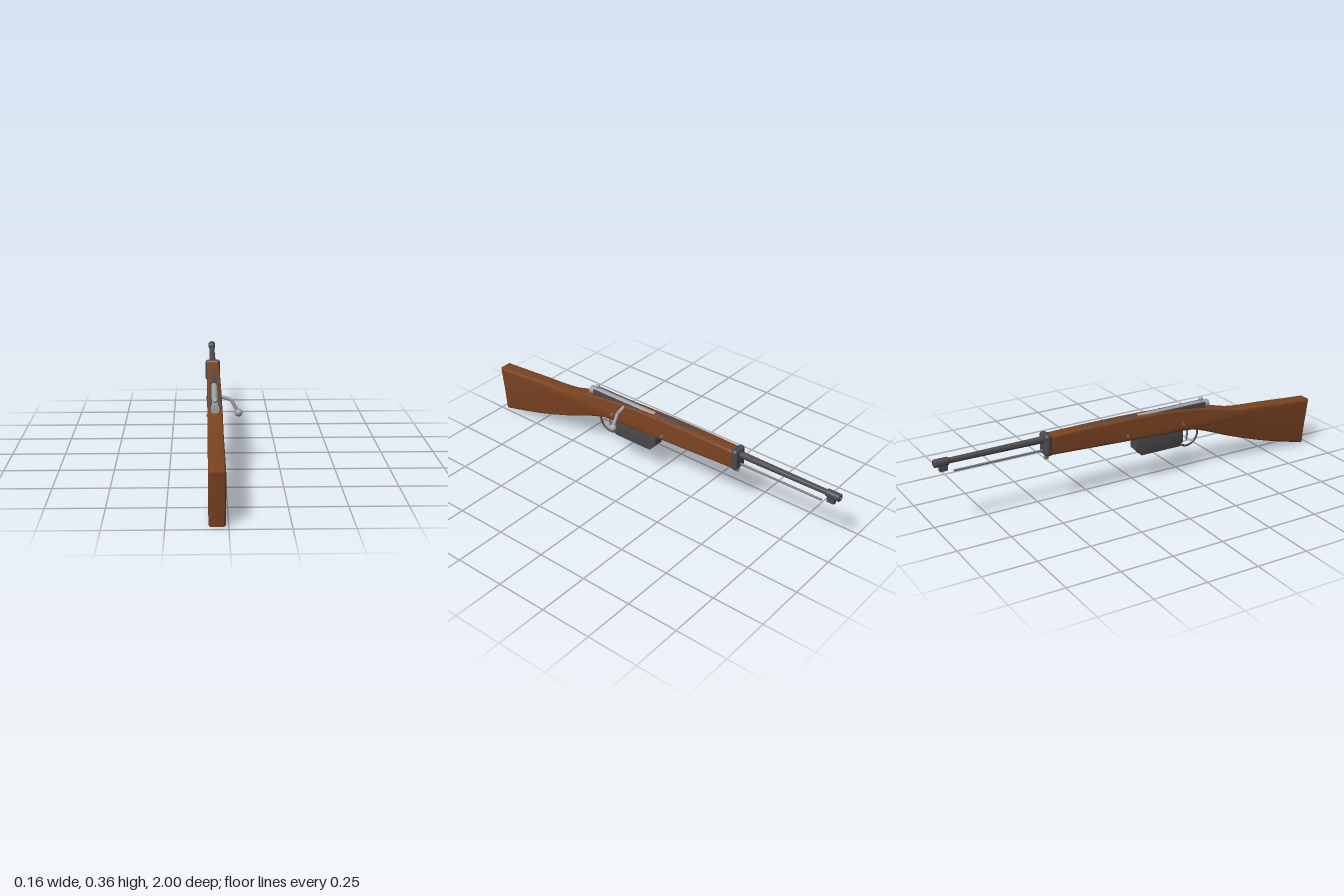
import * as THREE from 'three';
import { toCreasedNormals } from 'three/addons/utils/BufferGeometryUtils.js';
import { RoundedBoxGeometry } from 'three/addons/geometries/RoundedBoxGeometry.js';

const material = (name, color) => Object.assign(new THREE.MeshStandardMaterial({ color }), { name });
const wood = material('walnut wood', 0x7b4322);
const steel = material('dark steel', 0x4b4b4d);
const bright = material('bright steel', 0xa0a0a3);
const grey = material('rod grey', 0x77777a);

const CX = -0.045; // centre plane of the stock and barrel

export function createModel() {
  const model = new THREE.Group();
  model.name = 'boltActionRifle';

  const add = (name, geometry, mat, x = 0, y = 0, z = 0) => {
    const mesh = new THREE.Mesh(geometry, mat);
    mesh.name = name;
    mesh.position.set(x, y, z);
    model.add(mesh);
    return mesh;
  };

  // Cylinder lying along z
  const rodZ = (name, r, z0, z1, y, mat) =>
    add(name, new THREE.CylinderGeometry(r, r, Math.abs(z1 - z0), 24).rotateX(Math.PI / 2), mat, CX, y, (z0 + z1) / 2);

  // Cylinder between two points
  const rodBetween = (name, a, b, r, mat) => {
    const dir = b.clone().sub(a);
    const mesh = add(name, new THREE.CylinderGeometry(r, r, dir.length(), 16), mat);
    mesh.position.copy(a).add(b).multiplyScalar(0.5);
    mesh.quaternion.setFromUnitVectors(new THREE.Vector3(0, 1, 0), dir.normalize());
    return mesh;
  };

  // Side profile in (z, y), given thickness across x
  const sideExtrude = (shape, width, bevel) => {
    const g = new THREE.ExtrudeGeometry(shape, {
      depth: width - 2 * bevel, bevelEnabled: true, bevelSize: bevel,
      bevelThickness: bevel, bevelOffset: -bevel, bevelSegments: 3, curveSegments: 30,
    });
    g.translate(0, 0, -(width - 2 * bevel) / 2);
    return g.rotateY(-Math.PI / 2);
  };
  const points = (list) => list.map(([z, y]) => new THREE.Vector2(z, y));

  // Stock: curved profile, slightly narrower towards the muzzle
  const stockShape = new THREE.Shape();
  stockShape.moveTo(1, 0.235);
  stockShape.lineTo(0.97, 0.002);
  stockShape.splineThru(points([[0.73, 0.064], [0.52, 0.133], [0.36, 0.195], [0.27, 0.217], [0, 0.229], [-0.24, 0.24], [-0.46, 0.25]]));
  stockShape.lineTo(-0.46, 0.341);
  stockShape.splineThru(points([[-0.2, 0.343], [0.02, 0.34], [0.2, 0.331], [0.39, 0.306], [0.54, 0.271], [0.73, 0.256], [1, 0.235]]));
  const stock = sideExtrude(stockShape, 0.07, 0.009);
  const pos = stock.attributes.position;
  for (let i = 0; i < pos.count; i++) {
    pos.setX(i, pos.getX(i) * (0.88 + 0.12 * (pos.getZ(i) + 0.46) / 1.46));
  }
  add('stock', toCreasedNormals(stock, 0.7), wood, CX);

  // Barrel with muzzle collar and open bore
  const barrel = new THREE.LatheGeometry(points([
    [0, -0.96], [0.008, -0.96], [0.008, -1], [0.015, -1], [0.018, -0.997], [0.018, -0.935],
    [0.0125, -0.93], [0.016, -0.48], [0.0235, -0.2], [0.0235, 0], [0, 0],
  ]), 28).rotateX(Math.PI / 2);
  add('barrel', toCreasedNormals(barrel, 0.6), steel, CX, 0.322);
  add('muzzleLug', new THREE.BoxGeometry(0.018, 0.035, 0.036), steel, CX, 0.298, -0.957);
  rodZ('cleaningRod', 0.005, -0.45, -0.91, 0.271, grey);

  // Barrel band and its lower lug
  add('barrelBand', new RoundedBoxGeometry(0.074, 0.104, 0.034, 4, 0.014), steel, CX, 0.299, -0.471);
  const lug = add('bandLug', new THREE.CylinderGeometry(0.011, 0.011, 0.026, 16), grey, CX, 0.24, -0.471);
  lug.scale.x = 0.8;

  // Receiver and bolt
  add('receiver', new THREE.BoxGeometry(0.046, 0.034, 0.46), steel, CX, 0.321, 0.14);
  rodZ('boltBody', 0.0175, -0.07, 0.37, 0.327, bright);
  rodZ('boltCap', 0.02, 0.358, 0.397, 0.323, bright);
  add('cockingStem', new THREE.CylinderGeometry(0.005, 0.005, 0.03, 12), bright, CX, 0.342, 0.358);
  add('cockingKnob', new THREE.SphereGeometry(0.011, 20, 14), bright, CX, 0.352, 0.358);

  // Cranked bolt handle
  const root = new THREE.Vector3(CX, 0.331, 0.17);
  const elbow = new THREE.Vector3(0.03, 0.309, 0.17);
  const tip = new THREE.Vector3(0.064, 0.247, 0.17);
  rodBetween('handleArm', root, elbow, 0.008, bright);
  rodBetween('handleCrank', elbow, tip, 0.008, bright);
  add('handleKnob', new THREE.SphereGeometry(0.018, 24, 16), bright, tip.x, tip.y, tip.z);

  // Magazine with chamfered lower corners
  const magazine = new THREE.Shape(points([
    [0.245, 0.235], [0.245, 0.163], [0.225, 0.142], [0.015, 0.142], [-0.018, 0.178], [-0.018, 0.235],
  ]));
  add('magazine', toCreasedNormals(sideExtrude(magazine, 0.052, 0.003), 0.5), steel, CX);

  // Trigger and guard
  const guardPath = new THREE.CatmullRomCurve3([
    [0.342, 0.207], [0.341, 0.175], [0.322, 0.142], [0.283, 0.127], [0.248, 0.138], [0.232, 0.16],
  ].map(([z, y]) => new THREE.Vector3(0, y, z)));
  add('triggerGuard', new THREE.TubeGeometry(guardPath, 32, 0.005, 10), steel, CX);
  const triggerPath = new THREE.QuadraticBezierCurve3(
    new THREE.Vector3(0, 0.22, 0.28), new THREE.Vector3(0, 0.185, 0.286), new THREE.Vector3(0, 0.157, 0.278));
  add('trigger', new THREE.TubeGeometry(triggerPath, 10, 0.005, 8), grey, CX);

  // Cross pins through the stock
  for (const [z, y] of [[0.24, 0.256], [-0.065, 0.258]]) {
    add('crossPin', new THREE.CylinderGeometry(0.007, 0.007, 0.074, 16).rotateZ(Math.PI / 2), grey, CX, y, z);
  }

  return model;
}
